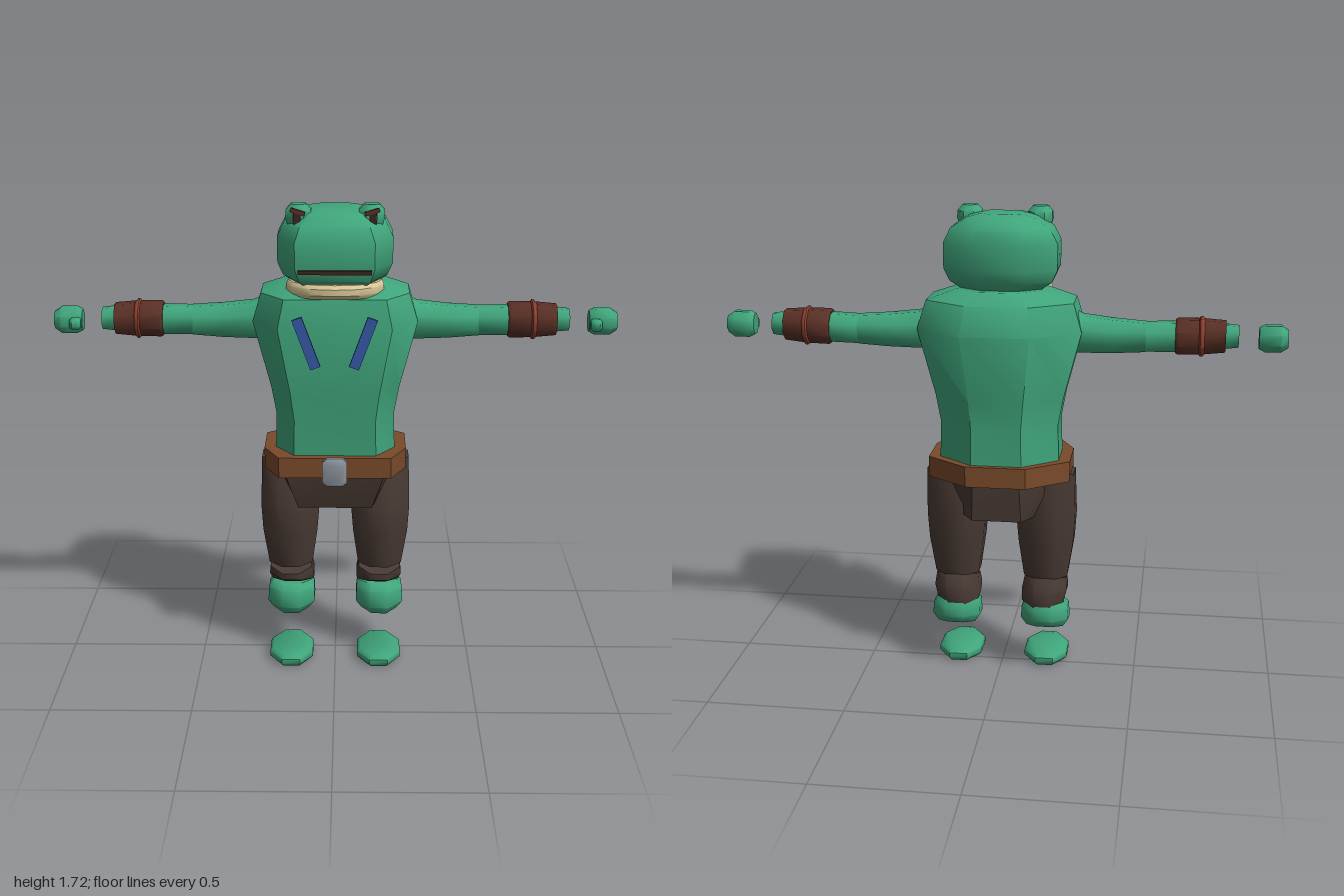
import * as THREE from 'three';
import { toCreasedNormals } from 'three/addons/utils/BufferGeometryUtils.js';

const V = (x, y, z) => new THREE.Vector3(x, y, z);

// Skin a closed, capped body over rings of equal point count, facing outwards
function loft(rings, crease = 0.62) {
  const n = rings[0].length;
  const pts = rings.flat();
  const idx = [];
  for (let r = 0; r < rings.length - 1; r++) {
    for (let i = 0; i < n; i++) {
      const a = r * n + i, b = r * n + (i + 1) % n;
      idx.push(a, b, a + n, b, b + n, a + n);
    }
  }
  const last = (rings.length - 1) * n;
  for (let i = 1; i < n - 1; i++) {
    idx.push(0, i + 1, i);
    idx.push(last, last + i, last + i + 1);
  }
  let volume = 0;
  for (let i = 0; i < idx.length; i += 3) {
    const [a, b, c] = [pts[idx[i]], pts[idx[i + 1]], pts[idx[i + 2]]];
    volume += a.dot(b.clone().cross(c));
  }
  if (volume < 0) idx.reverse();
  const geo = new THREE.BufferGeometry().setFromPoints(pts);
  geo.setIndex(idx);
  return toCreasedNormals(geo, crease);
}

// Body slice at height y: chamfered octagon, wider in front than at the back
const slice = (y, hx, zf, zb, f = 0.68, b = 0.42, sf = 0.36 * zf, sb = 0.48 * zb) => [
  V(hx * f, y, zf), V(hx, y, sf), V(hx, y, sb), V(hx * b, y, zb),
  V(-hx * b, y, zb), V(-hx, y, sb), V(-hx, y, sf), V(-hx * f, y, zf),
];

// Level oval ring for limbs, from z0 to z1, tilted by slope along z
function levelRing(x, y, rx, z0, z1, slope = 0) {
  const zc = (z0 + z1) / 2, rz = (z1 - z0) / 2;
  return Array.from({ length: 8 }, (_, i) => {
    const a = (i + 0.5) * Math.PI / 4, k = 1 / Math.cos(Math.PI / 8);
    const dz = Math.sin(a) * rz * k;
    return V(x + Math.cos(a) * rx * k, y + dz * slope, zc + dz);
  });
}

// Upright ring across the arm
function armRing(x, y, z, ry, rz = ry) {
  return Array.from({ length: 8 }, (_, i) => {
    const a = (i + 0.5) * Math.PI / 4, k = 1 / Math.cos(Math.PI / 8);
    return V(x, y + Math.sin(a) * ry * k, z + Math.cos(a) * rz * k);
  });
}

export function createModel() {
  const model = new THREE.Group();
  model.name = 'frogFigure';
  const material = (name, color) => {
    const m = new THREE.MeshStandardMaterial({ color });
    m.name = name;
    return m;
  };
  const skin = material('green skin', 0x40a67c);
  const cloth = material('dark brown cloth', 0x483a34);
  const leather = material('belt leather', 0x7a4a2a);
  const metal = material('buckle metal', 0x9097a0);
  const blue = material('blue strap', 0x3458a4);
  const cream = material('cream collar', 0xd8c898);
  const cuffBrown = material('cuff brown', 0x5a3026);
  const bandRed = material('band red', 0x8c3f2e);
  const dark = material('dark mouth', 0x3c2420);

  const add = (name, geo, mat, parent = model) => {
    const mesh = new THREE.Mesh(geo, mat);
    mesh.name = name;
    parent.add(mesh);
    return mesh;
  };
  const side = (name, s) => {
    const g = new THREE.Group();
    g.name = (s > 0 ? 'left' : 'right') + name;
    model.add(g);
    return g;
  };

  // Trunk
  add('torso', loft([
    slice(0.8, 0.215, 0.15, -0.19), slice(0.96, 0.21, 0.16, -0.19),
    slice(1.06, 0.228, 0.17, -0.195), slice(1.3, 0.29, 0.187, -0.225),
    slice(1.4, 0.26, 0.165, -0.19), slice(1.44, 0.15, 0.11, -0.14),
  ]), skin);
  add('hips', loft([
    slice(0.79, 0.21, 0.165, -0.19, 0.85), slice(0.74, 0.2, 0.16, -0.19, 0.85),
    slice(0.62, 0.148, 0.125, -0.18, 0.9, 0.6),
  ]), cloth);
  add('belt', loft([
    slice(0.755, 0.255, 0.18, -0.21, 0.78), slice(0.83, 0.255, 0.18, -0.21, 0.78),
  ]), leather);

  // Bevelled buckle
  const plate = (y, hx, hy) => {
    const c = 0.016;
    return [[hx, hy - c], [hx - c, hy], [c - hx, hy], [-hx, hy - c],
      [-hx, c - hy], [c - hx, -hy], [hx - c, -hy], [hx, c - hy]]
      .map(([px, py]) => V(px, 0.79 + py, y));
  };
  add('buckle', loft([
    plate(0.198, 0.035, 0.042), plate(0.204, 0.044, 0.052),
    plate(0.219, 0.044, 0.052), plate(0.225, 0.035, 0.042),
  ]), metal);

  // Head
  add('head', loft([
    slice(1.43, 0.13, 0.15, -0.1), slice(1.465, 0.18, 0.178, -0.125),
    slice(1.51, 0.2, 0.188, -0.14), slice(1.6, 0.2, 0.188, -0.142),
    slice(1.65, 0.175, 0.168, -0.138), slice(1.685, 0.12, 0.125, -0.1),
    slice(1.697, 0.075, 0.07, -0.055),
  ], 0.85), skin);
  add('mouth', new THREE.BoxGeometry(0.25, 0.014, 0.02).translate(0, 1.5, 0.187), dark);

  // Collar: bevelled half ring around the front of the neck
  const collarPath = [[-0.16, 0.085], [-0.14, 0.135], [-0.08, 0.175], [0, 0.185],
    [0.08, 0.175], [0.14, 0.135], [0.16, 0.085]];
  add('collar', loft(collarPath.map(([x, z]) => {
    const out = V(x, 0, z - 0.03).normalize();
    return [[-0.03, -0.02], [0.004, -0.025], [0.016, -0.01], [0.016, 0.012], [0.004, 0.025], [-0.03, 0.025]]
      .map(([o, h]) => V(x + out.x * o * 0.6, 1.43 + h, z + out.z * o));
  })), cream);

  for (const s of [1, -1]) {
    // Eyes with lid and pupil plates
    const eye = side('Eye', s);
    const x = s * 0.125;
    add('eyeKnob', loft([
      levelRing(x, 1.64, 0.036, 0.035, 0.11), levelRing(x, 1.67, 0.045, 0.03, 0.12),
      levelRing(x, 1.695, 0.043, 0.032, 0.115), levelRing(x, 1.715, 0.026, 0.048, 0.1),
    ]), skin, eye);
    const pupil = add('pupil', new THREE.BoxGeometry(0.024, 0.05, 0.009), dark, eye);
    pupil.position.set(s * 0.129, 1.672, 0.122);
    const lid = add('eyelid', new THREE.BoxGeometry(0.052, 0.014, 0.009), cuffBrown, eye);
    lid.position.set(s * 0.127, 1.694, 0.123);
    lid.rotation.z = s * 0.3;

    // Chest strap
    const strap = add('chestStrap', new THREE.BoxGeometry(0.036, 0.185, 0.014), blue);
    strap.position.set(s * 0.098, 1.26, 0.218);
    strap.rotation.z = -s * 0.35;

    // Arm
    const arm = side('Arm', s);
    const tube = (name, rings, mat) =>
      add(name, loft(rings.map(([ax, ...r]) => armRing(s * ax, ...r)), 0.85), mat, arm);
    tube('upperArm', [
      [0.23, 1.3, -0.028, 0.08, 0.065], [0.29, 1.285, -0.03, 0.065, 0.068],
      [0.4, 1.28, -0.033, 0.058, 0.06], [0.51, 1.28, -0.037, 0.051, 0.053],
    ], skin);
    tube('forearm', [
      [0.5, 1.28, -0.036, 0.05, 0.052], [0.62, 1.283, -0.032, 0.051, 0.055],
      [0.8, 1.287, -0.025, 0.04, 0.04], [0.83, 1.287, -0.024, 0.037, 0.036],
    ], skin);
    tube('cuff', [
      [0.612, 1.284, -0.032, 0.055, 0.058], [0.62, 1.284, -0.032, 0.06, 0.064],
      [0.7, 1.285, -0.03, 0.06, 0.058], [0.785, 1.286, -0.027, 0.053, 0.05],
    ], cuffBrown);
    tube('cuffBand', [
      [0.693, 1.285, -0.03, 0.06], [0.698, 1.285, -0.03, 0.066],
      [0.706, 1.285, -0.03, 0.066], [0.712, 1.285, -0.03, 0.06],
    ], bandRed);
    tube('hand', [
      [0.9, 1.282, -0.02, 0.036, 0.03], [0.92, 1.282, -0.02, 0.046, 0.04],
      [0.975, 1.282, -0.02, 0.046, 0.042], [1, 1.282, -0.02, 0.03, 0.028],
    ], skin);
    tube('thumb', [
      [0.902, 1.277, 0.018, 0.015, 0.014], [0.912, 1.277, 0.02, 0.022, 0.02],
      [0.932, 1.277, 0.022, 0.022, 0.02], [0.942, 1.277, 0.018, 0.015, 0.014],
    ], skin);

    // Leg: thigh, tilted shin, ankle and sole
    const leg = side('Leg', s);
    const limb = (name, rings, mat) =>
      add(name, loft(rings.map(([lx, ...r]) => levelRing(s * lx, ...r)), 0.85), mat, leg);
    limb('thigh', [
      [0.168, 0.775, 0.1, -0.12, 0.06], [0.165, 0.6, 0.107, -0.117, 0.108],
      [0.166, 0.5, 0.1, -0.105, 0.1], [0.165, 0.365, 0.08, -0.085, 0.08],
    ], cloth);
    limb('shin', [
      [0.165, 0.352, 0.077, -0.085, 0.07, -0.26], [0.163, 0.315, 0.083, -0.113, 0.068, -0.1],
      [0.158, 0.278, 0.077, -0.11, 0.05, 0.2],
    ], cloth);
    limb('ankle', [
      [0.163, 0.272, 0.07, -0.108, 0.03], [0.165, 0.25, 0.085, -0.116, 0.052],
      [0.166, 0.2, 0.088, -0.12, 0.06, -0.14], [0.166, 0.168, 0.068, -0.1, 0.03, -0.25],
    ], skin);
    limb('sole', [
      [0.163, 0, 0.068, -0.038, 0.165], [0.163, 0.014, 0.08, -0.053, 0.18],
      [0.163, 0.034, 0.08, -0.053, 0.18], [0.163, 0.047, 0.068, -0.038, 0.165],
    ], skin);
  }
  return model;
}
